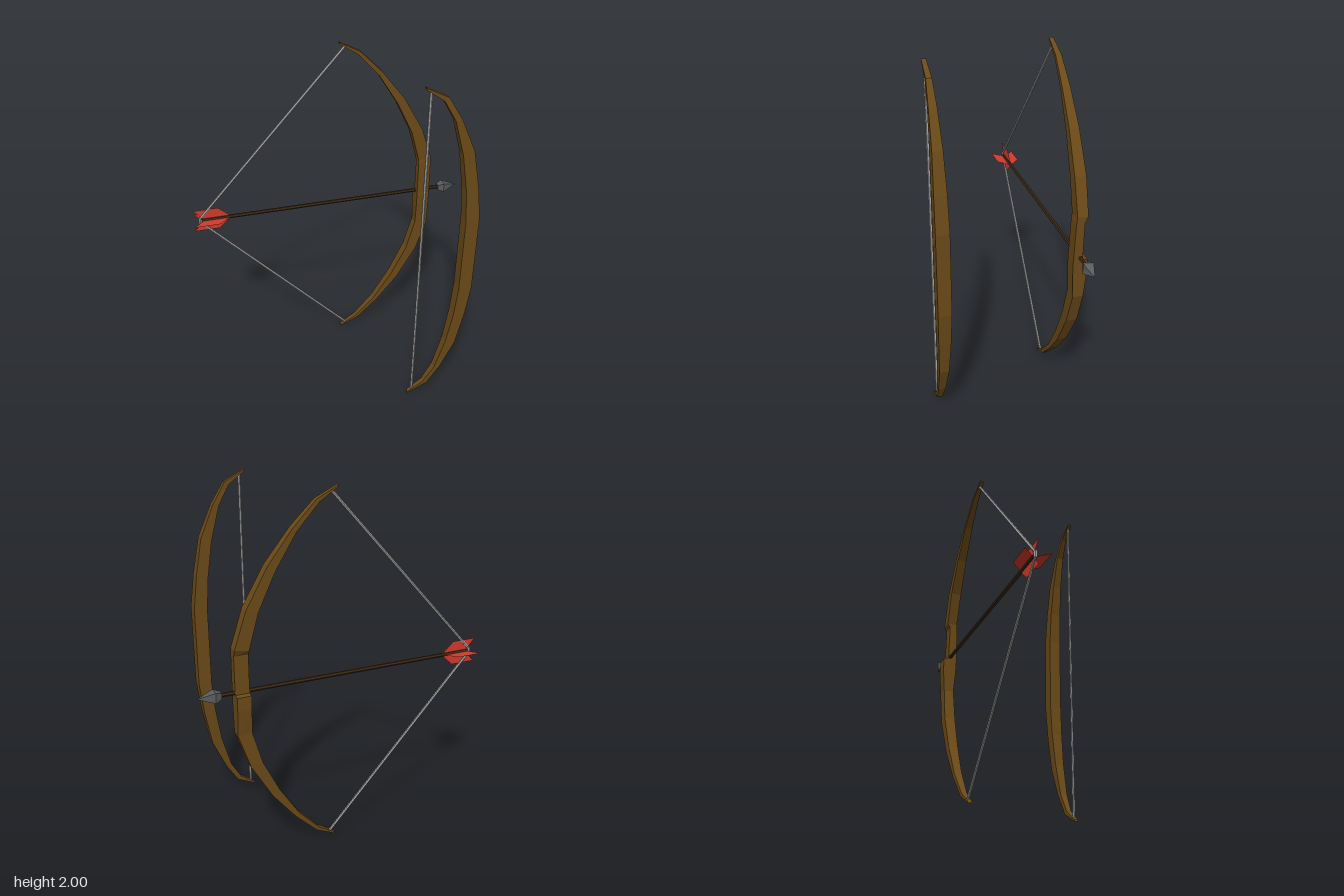
import * as THREE from 'three';

const paint = (color, side = THREE.FrontSide) =>
  new THREE.MeshStandardMaterial({ color, side, flatShading: true });
const wood = paint(0x6b4a18);
const darkWood = paint(0x3d2a16);
const steel = paint(0x5a5c5e);
const cord = paint(0xaaaaaa);
const red = paint(0xd23a2c, THREE.DoubleSide);

function add(parent, name, geometry, material) {
  const mesh = new THREE.Mesh(geometry, material);
  mesh.name = name;
  parent.add(mesh);
  return mesh;
}

// Loft of four-cornered sections, bottom to top: [outerX, outerY, innerX, innerY, backZ, frontZ]
function loft(rows) {
  const pos = [], index = [];
  for (const [xo, yo, xi, yi, zb, zf] of rows) {
    pos.push(xo, yo, zf, xo, yo, zb, xi, yi, zb, xi, yi, zf);
  }
  for (let i = 0; i < rows.length - 1; i++) {
    for (let j = 0; j < 4; j++) {
      const a = i * 4 + j, b = i * 4 + (j + 1) % 4;
      index.push(a, b, b + 4, a, b + 4, a + 4);
    }
  }
  const t = (rows.length - 1) * 4;
  index.push(0, 2, 1, 0, 3, 2, t, t + 1, t + 2, t, t + 2, t + 3);
  const g = new THREE.BufferGeometry();
  g.setAttribute('position', new THREE.Float32BufferAttribute(pos, 3));
  g.setIndex(index);
  const flat = g.toNonIndexed();
  flat.computeVertexNormals();
  return flat;
}

// Upper limb from tip to grip, mirrored below; grip rows go between, bottom to top
function bowGeometry(limb, grip) {
  const upper = limb.map(([xo, yo, xi, yi, h]) => [xo, yo, xi, yi, -h, h]);
  const lower = upper.map(([xo, yo, xi, yi, b, f]) => [xo, 2 - yo, xi, 2 - yi, b, f]);
  return loft([...lower, ...grip, ...upper.reverse()]);
}

// Straight cylinder between two points
function rod(parent, name, a, b, radius, sides, material) {
  const from = new THREE.Vector3(...a), to = new THREE.Vector3(...b);
  const dir = to.clone().sub(from);
  const mesh = add(parent, name, new THREE.CylinderGeometry(radius, radius, dir.length(), sides), material);
  mesh.position.copy(from).add(to).multiplyScalar(0.5);
  mesh.quaternion.setFromUnitVectors(new THREE.Vector3(0, 1, 0), dir.normalize());
}

function restingBow() {
  const bow = new THREE.Group();
  bow.name = 'restingBow';
  add(bow, 'restingBowStave', bowGeometry([
    [0.29, 2.0, 0.292, 1.99, 0.012],
    [0.41, 1.94, 0.385, 1.925, 0.015],
    [0.485, 1.82, 0.45, 1.815, 0.021],
    [0.565, 1.64, 0.505, 1.62, 0.027],
    [0.605, 1.43, 0.537, 1.42, 0.033],
    [0.63, 1.235, 0.553, 1.23, 0.036],
  ], []), wood);
  rod(bow, 'restingString', [0.32, 0.025, 0], [0.32, 1.975, 0], 0.008, 6, cord);
  return bow;
}

function drawnBow() {
  const bow = new THREE.Group();
  bow.name = 'drawnBow';
  // Grip with an arrow shelf on the back side and a narrowed window above it
  const xo = 0.63, xi = 0.553;
  const grip = [
    [0.91, -0.041, 0.037], [0.985, -0.041, 0.038], [0.99, -0.013, 0.037], [1.2, -0.013, 0.033],
  ].map(([y, b, f]) => [xo, y, xi, y, b, f]);
  add(bow, 'drawnBowStave', bowGeometry([
    [0.06, 2.0, 0.063, 1.99, 0.012],
    [0.18, 1.94, 0.165, 1.925, 0.016],
    [0.31, 1.81, 0.29, 1.79, 0.022],
    [0.445, 1.64, 0.405, 1.61, 0.027],
    [0.565, 1.43, 0.50, 1.415, 0.031],
    [0.63, 1.235, 0.553, 1.225, 0.029],
  ], grip), wood);
  for (const s of [-1, 1]) {
    rod(bow, 'drawnString', [0.095, 1 + s * 0.975, 0], [-0.79, 1 + s * 0.012, 0], 0.008, 6, cord);
  }
  // String loop around the nock
  rod(bow, 'stringNock', [-0.79, 0.982, 0], [-0.79, 1.018, 0], 0.01, 6, cord);
  return bow;
}

function arrow() {
  const group = new THREE.Group();
  group.name = 'arrow';
  rod(group, 'arrowShaft', [-0.78, 0, 0], [0.72, 0, 0], 0.011, 6, darkWood);

  // Square pointed head
  const headProfile = [[0, 0], [0.022, 0], [0.04, 0.035], [0, 0.125]].map(p => new THREE.Vector2(...p));
  const head = new THREE.LatheGeometry(headProfile, 4, Math.PI / 4);
  head.rotateZ(-Math.PI / 2);
  add(group, 'arrowHead', head, steel).position.x = 0.7;

  // Four swept feathers
  const feather = new THREE.Shape(
    [[-0.765, 0], [-0.62, 0], [-0.62, 0.015], [-0.68, 0.07], [-0.828, 0.07]].map(p => new THREE.Vector2(...p)));
  for (let i = 0; i < 4; i++) {
    add(group, 'feather', new THREE.ShapeGeometry(feather), red).rotation.x = i * Math.PI / 2;
  }
  return group;
}

export function createModel() {
  const model = new THREE.Group();
  model.name = 'bowsAndArrow';
  const resting = restingBow(), drawn = drawnBow(), shot = arrow();
  resting.position.z = 0.375;
  drawn.position.z = -0.34;
  shot.position.set(0, 1, -0.34);
  model.add(resting, drawn, shot);
  return model;
}
